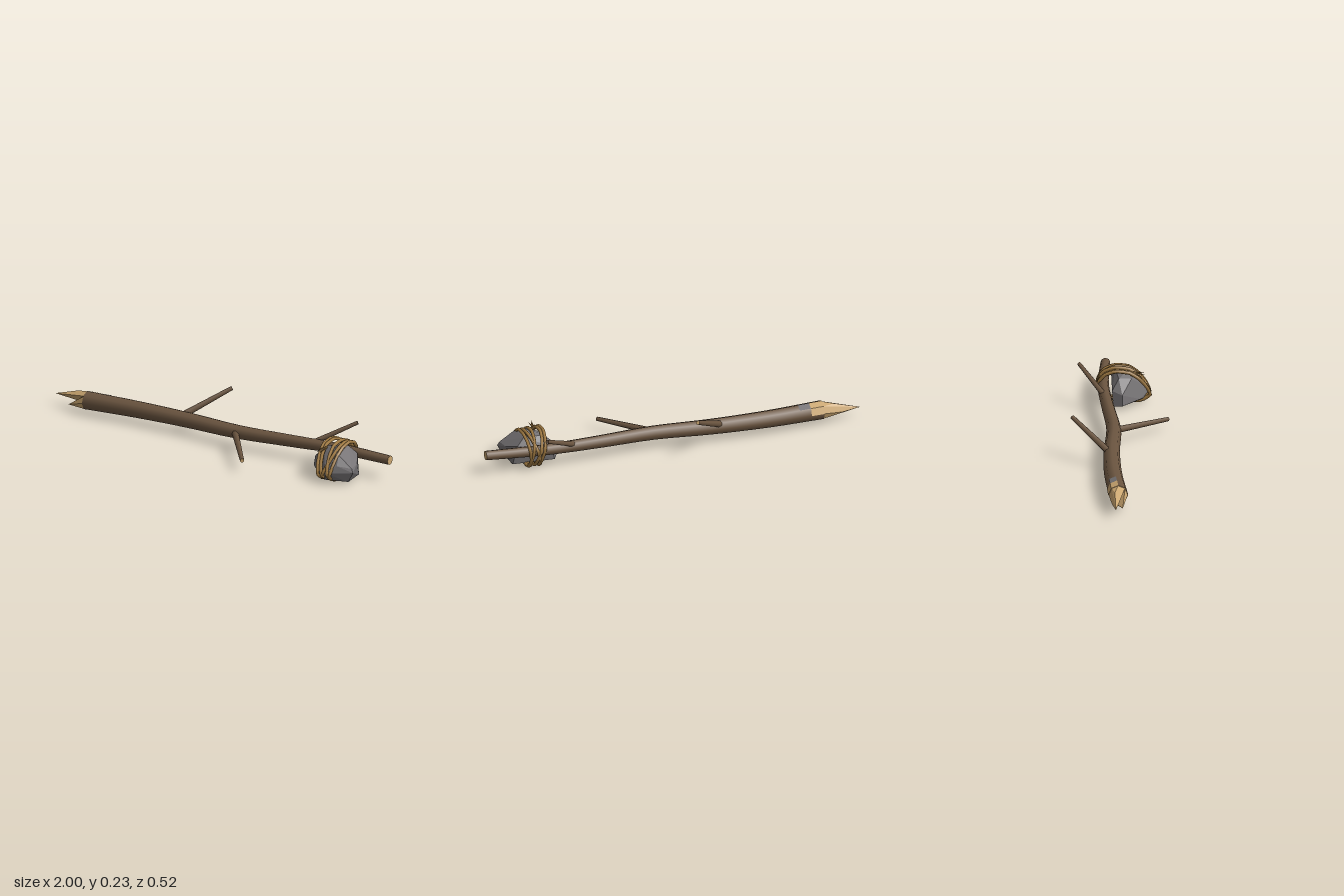
import * as THREE from 'three';
import { ConvexGeometry } from 'three/addons/geometries/ConvexGeometry.js';

const V = (x, y, z) => new THREE.Vector3(x, y, z);

export function createModel() {
  const model = new THREE.Group();
  const material = (name, color, extra = {}) => {
    const m = new THREE.MeshStandardMaterial({ color, ...extra });
    m.name = name;
    return m;
  };
  const bark = material('bark', 0x6b5540);
  const wood = material('cutWood', 0xcaa670, { flatShading: true });
  const stone = material('stone', 0x747173, { flatShading: true });
  const rope = material('rope', 0xa07a42);

  const add = (name, geometry, mat, parent = model) => {
    const mesh = new THREE.Mesh(geometry, mat);
    mesh.name = name;
    parent.add(mesh);
    return mesh;
  };

  // Shaft: a gently wavy, tapering branch lying along x
  const spine = new THREE.CatmullRomCurve3([
    V(-0.8, 0.07, -0.045), V(-0.5, 0.074, -0.06), V(-0.2, 0.079, -0.055), V(0.1, 0.085, -0.033),
    V(0.4, 0.092, -0.05), V(0.7, 0.102, -0.063), V(1, 0.11, -0.04),
  ], false, 'catmullrom');
  const alongShaft = (x0, x1, scale, segments, sides, open, start, length) => {
    const g = new THREE.CylinderGeometry(1, 1, 1, sides, segments, open, start, length);
    g.rotateZ(-Math.PI / 2);
    const p = g.attributes.position;
    for (let i = 0; i < p.count; i++) {
      const x = x0 + (p.getX(i) + 0.5) * (x1 - x0);
      const t = THREE.MathUtils.clamp((x + 0.8) / 1.8, 0, 1);
      const c = spine.getPoint(t);
      const r = THREE.MathUtils.lerp(0.05, 0.025, t) * scale;
      p.setXYZ(i, x, c.y + p.getY(i) * r, c.z + p.getZ(i) * r);
    }
    return g;
  };
  add('shaft', alongShaft(-0.8, 1, 1, 24, 8, false, 0, Math.PI * 2), [bark, wood, wood]);

  // Stripped patches near the broken end
  add('strippedPatch', alongShaft(-0.8, -0.73, 1.03, 1, 2, true, Math.PI, Math.PI / 2), wood);
  add('greyPatch', alongShaft(-0.73, -0.67, 1.03, 1, 1, true, Math.PI * 1.25, Math.PI / 4), stone);

  // Splintered end: two jagged shards sharing the shaft's end ring
  const ringArc = (from) => Array.from({ length: 5 }, (_, i) => {
    const a = (from + i) * Math.PI / 4;
    return V(-0.795, 0.07 + 0.049 * Math.sin(a), -0.045 + 0.049 * Math.cos(a));
  });
  add('longSplinter', new ConvexGeometry([...ringArc(1), V(-0.86, 0.105, -0.065),
    V(-0.9, 0.076, -0.055), V(-0.9, 0.058, -0.082), V(-1, 0.062, -0.065)]), wood);
  add('shortSplinter', new ConvexGeometry([...ringArc(5), V(-0.84, 0.03, -0.055),
    V(-0.9, 0.034, -0.027)]), wood);

  // Side twigs
  const rod = (name, a, b, r0, r1, sides, mats, parent) => {
    const d = b.clone().sub(a);
    const mesh = add(name, new THREE.CylinderGeometry(r1, r0, d.length(), sides), mats, parent);
    mesh.position.copy(a).addScaledVector(d, 0.5);
    mesh.quaternion.setFromUnitVectors(V(0, 1, 0), d.normalize());
  };
  rod('middleTwig', V(-0.26, 0.085, -0.058), V(-0.065, 0.218, -0.25), 0.018, 0.011, 7, [bark, wood, bark]);
  rod('headTwig', V(0.52, 0.1, -0.055), V(0.72, 0.211, -0.185), 0.015, 0.01, 7, bark);
  rod('frontTwig', V(0.085, 0.086, -0.03), V(0.3, 0.062, 0.25), 0.018, 0.011, 7, [bark, wood, bark]);

  // Faceted stone tied to the front of the shaft
  add('stoneHead', new ConvexGeometry([
    V(0.59, 0.025, 0.03), V(0.6, 0.08, 0.03), V(0.62, 0.015, -0.015), V(0.64, 0.09, -0.02),
    V(0.67, 0.145, 0.015), V(0.68, 0.14, 0.08), V(0.68, 0.03, 0.125), V(0.74, 0.17, 0.07),
    V(0.78, 0.158, 0.0), V(0.79, 0.145, 0.115), V(0.75, 0.06, 0.178), V(0.74, 0.02, 0.165),
    V(0.8, 0.1, 0.15), V(0.87, 0.09, 0.12), V(0.88, 0.07, 0.125), V(0.86, 0.095, 0.05),
    V(0.85, 0.015, 0.12), V(0.84, 0.015, 0.0), V(0.82, 0.12, -0.018), V(0.7, 0.01, 0.1),
  ]), stone);

  // Rope lashing: slanted loops that cross each other
  const lashing = new THREE.Group();
  lashing.name = 'lashing';
  model.add(lashing);
  const loop = [[0.176, 0.045], [0.158, 0.09], [0.12, 0.138], [0.07, 0.172], [0, 0.181], [-0.055, 0.16],
    [-0.09, 0.115], [-0.08, 0.06], [-0.045, 0.014], [0.04, 0.009], [0.13, 0.012]];
  for (let i = 0; i < 5; i++) {
    const k = i - 2;
    const tilt = [0.022, 0.026, -0.03, 0.02, -0.012][i];
    const points = loop.map(([z, y], j) => {
      const a = j / loop.length * Math.PI * 2;
      const swell = 1 - 0.015 * (i % 3);
      return V(0.735 + k * 0.019 - tilt * Math.sin(a - 0.3),
        Math.max(0.009, 0.09 + (y - 0.09) * swell), 0.045 + (z - 0.045) * swell);
    });
    add('ropeLoop', new THREE.TubeGeometry(
      new THREE.CatmullRomCurve3(points, true, 'catmullrom', 0.2), 33, 0.009, 6, true), rope, lashing);
  }

  // Frayed rope end
  for (let i = 0; i < 5; i++) {
    rod('frayedStrand', V(0.705, 0.165, 0.09), V(0.675 + 0.008 * i, 0.148 + 0.005 * ((i * 2) % 5), 0.135 + 0.004 * (i % 4)),
      0.005, 0.0008, 4, rope, lashing);
  }
  return model;
}
